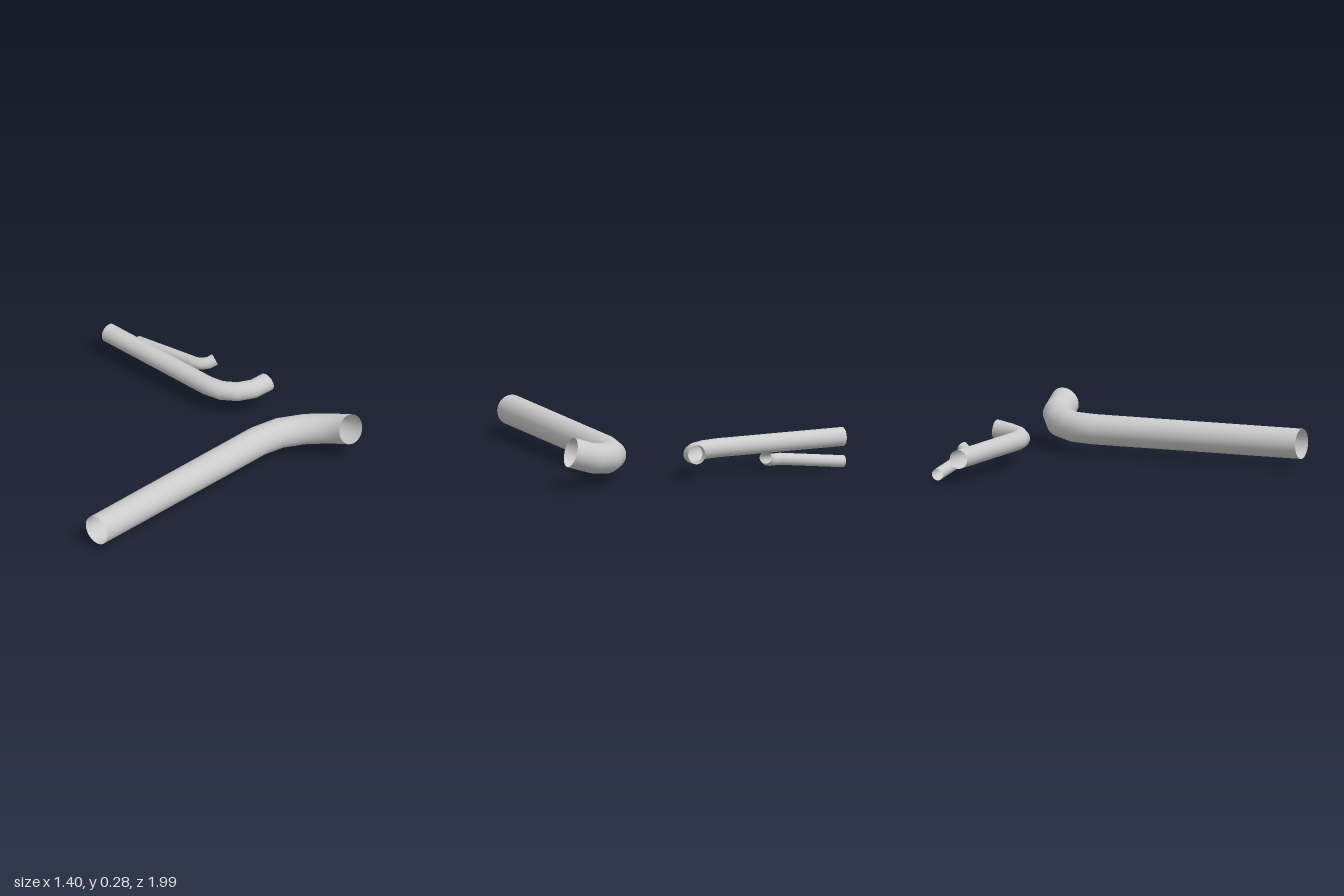
import * as THREE from 'three';

const SIDES = 32;
const UP = new THREE.Vector3(0, 1, 0);

// Open round tube: one ring of vertices for each centre and its direction
function sweep(centres, dirs, radius) {
  const pos = [], nor = [], idx = [];
  centres.forEach((c, i) => {
    const u = new THREE.Vector3().crossVectors(UP, dirs[i]).normalize();
    const v = new THREE.Vector3().crossVectors(dirs[i], u).normalize();
    for (let j = 0; j < SIDES; j++) {
      const a = (j / SIDES) * Math.PI * 2;
      const n = u.clone().multiplyScalar(Math.cos(a)).addScaledVector(v, Math.sin(a));
      nor.push(n.x, n.y, n.z);
      pos.push(c.x + n.x * radius, c.y + n.y * radius, c.z + n.z * radius);
      if (i < centres.length - 1) {
        const p = i * SIDES + j, q = i * SIDES + (j + 1) % SIDES;
        idx.push(p, q, p + SIDES, q, q + SIDES, p + SIDES);
      }
    }
  });
  const g = new THREE.BufferGeometry();
  g.setAttribute('position', new THREE.Float32BufferAttribute(pos, 3));
  g.setAttribute('normal', new THREE.Float32BufferAttribute(nor, 3));
  g.setIndex(idx);
  return g;
}

// Straight run from start to knee, then an arc to a new heading that lifts at its end
function bentPipe({ start, knee, endHeading, bend, lift, endRise, radius }) {
  const a = new THREE.Vector3(...start), b = new THREE.Vector3(...knee);
  const h0 = Math.atan2(b.z - a.z, b.x - a.x);
  const h1 = THREE.MathUtils.degToRad(endHeading);
  const s = Math.sign(h1 - h0) * bend;
  const slope = b.clone().sub(a).normalize();
  const centres = [a], dirs = [slope];
  const steps = 4;
  for (let k = 0; k <= steps; k++) {
    const t = k / steps, h = h0 + (h1 - h0) * t;
    centres.push(new THREE.Vector3(
      b.x + s * (Math.sin(h) - Math.sin(h0)),
      b.y + lift * t ** 3,
      b.z + s * (Math.cos(h0) - Math.cos(h))));
    const rise = slope.y + (endRise - slope.y) * t * t;
    dirs.push(new THREE.Vector3(Math.cos(h), rise, Math.sin(h)).normalize());
  }
  return sweep(centres, dirs, radius);
}

export function createModel() {
  const model = new THREE.Group();
  model.name = 'bentPipes';
  const material = new THREE.MeshStandardMaterial({ color: 0xcccccc, side: THREE.DoubleSide });
  const pipes = {
    largePipe: { start: [-0.583, 0.128, 0.942], knee: [0.185, 0.128, 0.05],
      endHeading: 43, bend: 0.33, lift: 0.077, endRise: 0.3, radius: 0.078 },
    mediumPipe: { start: [-0.653, 0.13, -0.905], knee: [-0.11, 0.13, -0.446],
      endHeading: -50, bend: 0.215, lift: 0.02, endRise: 0.12, radius: 0.049 },
    smallPipe: { start: [-0.505, 0.033, -0.976], knee: [-0.22, 0.078, -0.748],
      endHeading: -22, bend: 0.128, lift: 0.027, endRise: 0.42, radius: 0.031 },
  };
  for (const [name, spec] of Object.entries(pipes)) {
    const mesh = new THREE.Mesh(bentPipe(spec), material);
    mesh.name = name;
    model.add(mesh);
  }
  return model;
}
